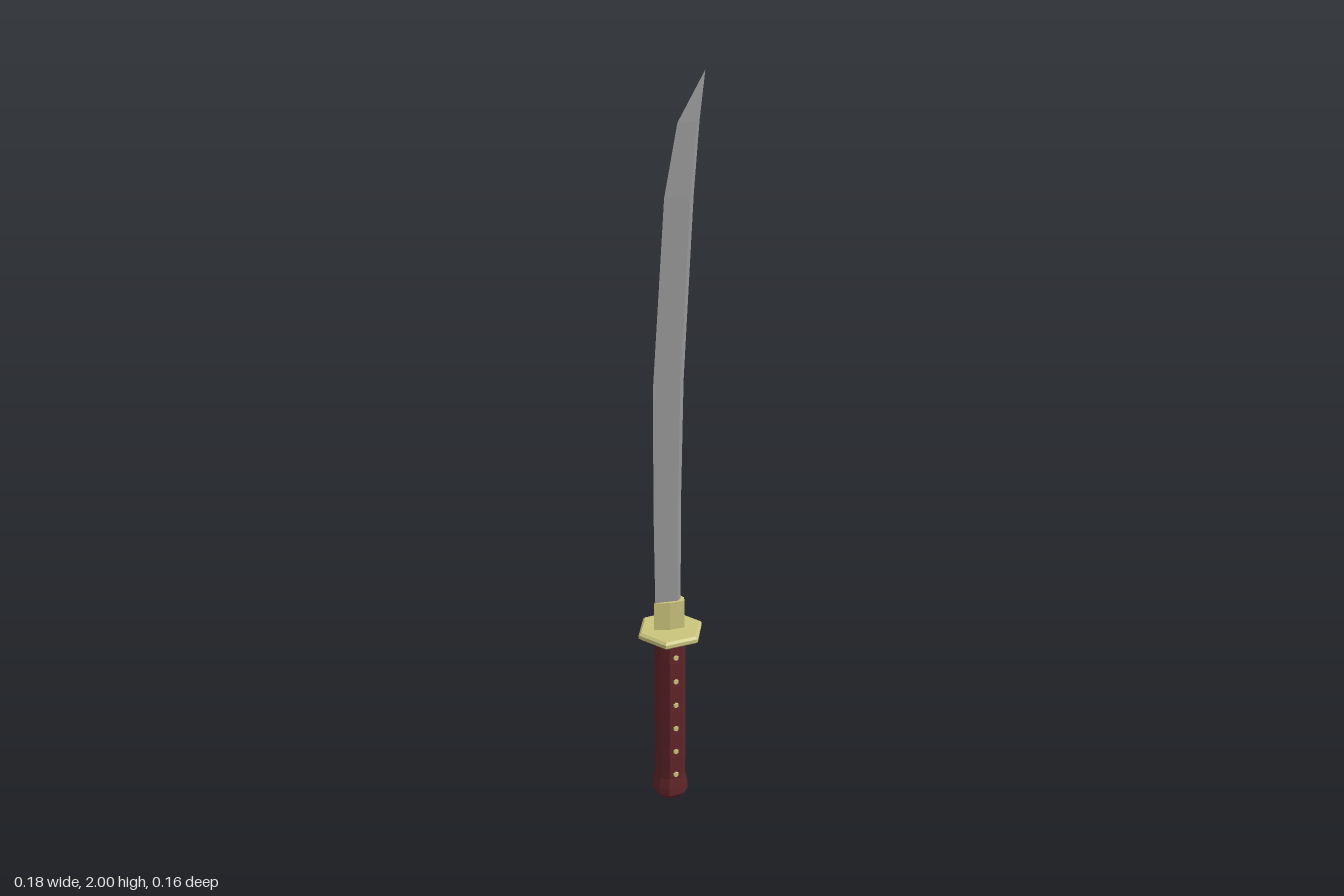
import * as THREE from 'three';

const steel = new THREE.MeshStandardMaterial({ color: 0x989898 });
steel.name = 'steel';
const brass = new THREE.MeshStandardMaterial({ color: 0xcac47c });
brass.name = 'brass';
const grip = new THREE.MeshStandardMaterial({ color: 0x5e2428 });
grip.name = 'dark red grip';

// Faceted solid from horizontal rings of [x, z] corners, listed from bottom to top
function loft(name, material, levels) {
  const pos = [];
  const tri = (...pts) => pts.forEach((p) => pos.push(...p));
  const rings = levels.map(([y, ring]) => ring.map(([x, z]) => [x, y, z]));
  const n = rings[0].length;
  for (let i = 0; i < rings.length - 1; i++) {
    for (let j = 0; j < n; j++) {
      const k = (j + 1) % n;
      const [lo, hi] = [rings[i], rings[i + 1]];
      tri(lo[j], lo[k], hi[k]);
      tri(lo[j], hi[k], hi[j]);
    }
  }
  const bottom = rings[0], top = rings[rings.length - 1];
  for (let j = 1; j < n - 1; j++) {
    tri(bottom[0], bottom[j + 1], bottom[j]);
    tri(top[0], top[j], top[j + 1]);
  }
  const geometry = new THREE.BufferGeometry();
  geometry.setAttribute('position', new THREE.Float32BufferAttribute(pos, 3));
  geometry.computeVertexNormals();
  const mesh = new THREE.Mesh(geometry, material);
  mesh.name = name;
  return mesh;
}

// Chamfered rectangle with half sizes a (x) and b (z)
function octagon(a, b) {
  const c = a * 0.5, d = b * 0.5;
  return [[a, d], [a, -d], [c, -b], [-c, -b], [-a, -d], [-a, d], [-c, b], [c, b]];
}

// Hexagon with corners on the x axis
function hexagon(r) {
  return Array.from({ length: 6 }, (_, i) => {
    const t = (i * Math.PI) / 3;
    return [r * Math.cos(t), -r * Math.sin(t)];
  });
}

// Cutting edge on -x, ridged spine on +x
function bladeRing(edge, spine, t) {
  const shoulder = edge + (spine - edge) * 0.84;
  return [[edge, 0], [shoulder, t], [spine, 0], [shoulder, -t]];
}

export function createModel() {
  const sword = new THREE.Group();
  sword.name = 'sword';

  // Curved blade
  sword.add(loft('blade', steel, [
    [0.55, bladeRing(-0.042, 0.029, 0.01)],
    [0.9, bladeRing(-0.047, 0.03, 0.01)],
    [1.22, bladeRing(-0.046, 0.036, 0.01)],
    [1.7, bladeRing(-0.016, 0.061, 0.01)],
    [1.88, bladeRing(0.018, 0.075, 0.0065)],
    [2.0, bladeRing(0.089, 0.089, 0)],
  ]));

  // Collar at the blade root
  const collar = [[-0.046, 0], [-0.007, 0.014], [0.033, 0.017], [0.039, 0], [0.033, -0.017], [-0.007, -0.014]];
  sword.add(loft('collar', brass, [[0.51, collar], [0.6, collar]]));

  // Bevelled hexagonal guard
  sword.add(loft('guard', brass, [
    [0.499, hexagon(0.083)],
    [0.505, hexagon(0.09)],
    [0.514, hexagon(0.09)],
    [0.52, hexagon(0.083)],
  ]));

  // Handle and flared pommel
  sword.add(loft('handle', grip, [[0.06, octagon(0.036, 0.038)], [0.502, octagon(0.036, 0.038)]]));
  sword.add(loft('pommel', grip, [
    [0.0, octagon(0.026, 0.03)],
    [0.018, octagon(0.042, 0.045)],
    [0.04, octagon(0.041, 0.044)],
    [0.066, octagon(0.036, 0.039)],
  ]));

  // Studs and raised wrap pads along both faces of the handle
  const studGeometry = new THREE.CylinderGeometry(0.007, 0.01, 0.01, 6).rotateX(Math.PI / 2).toNonIndexed();
  studGeometry.computeVertexNormals();
  const padGeometry = new THREE.BoxGeometry(0.036, 0.046, 0.006);
  for (const side of [1, -1]) {
    const face = new THREE.Group();
    face.name = side > 0 ? 'frontFittings' : 'backFittings';
    face.rotation.y = side > 0 ? 0 : Math.PI;
    for (let i = 0; i < 6; i++) {
      const y = 0.081 + i * 0.073;
      const stud = new THREE.Mesh(studGeometry, brass);
      stud.name = 'stud';
      stud.position.set(0, y, 0.037);
      const pad = new THREE.Mesh(padGeometry, grip);
      pad.name = 'wrapPad';
      pad.position.set(0, y + 0.0365, 0.038);
      face.add(stud, pad);
    }
    sword.add(face);
  }
  return sword;
}
